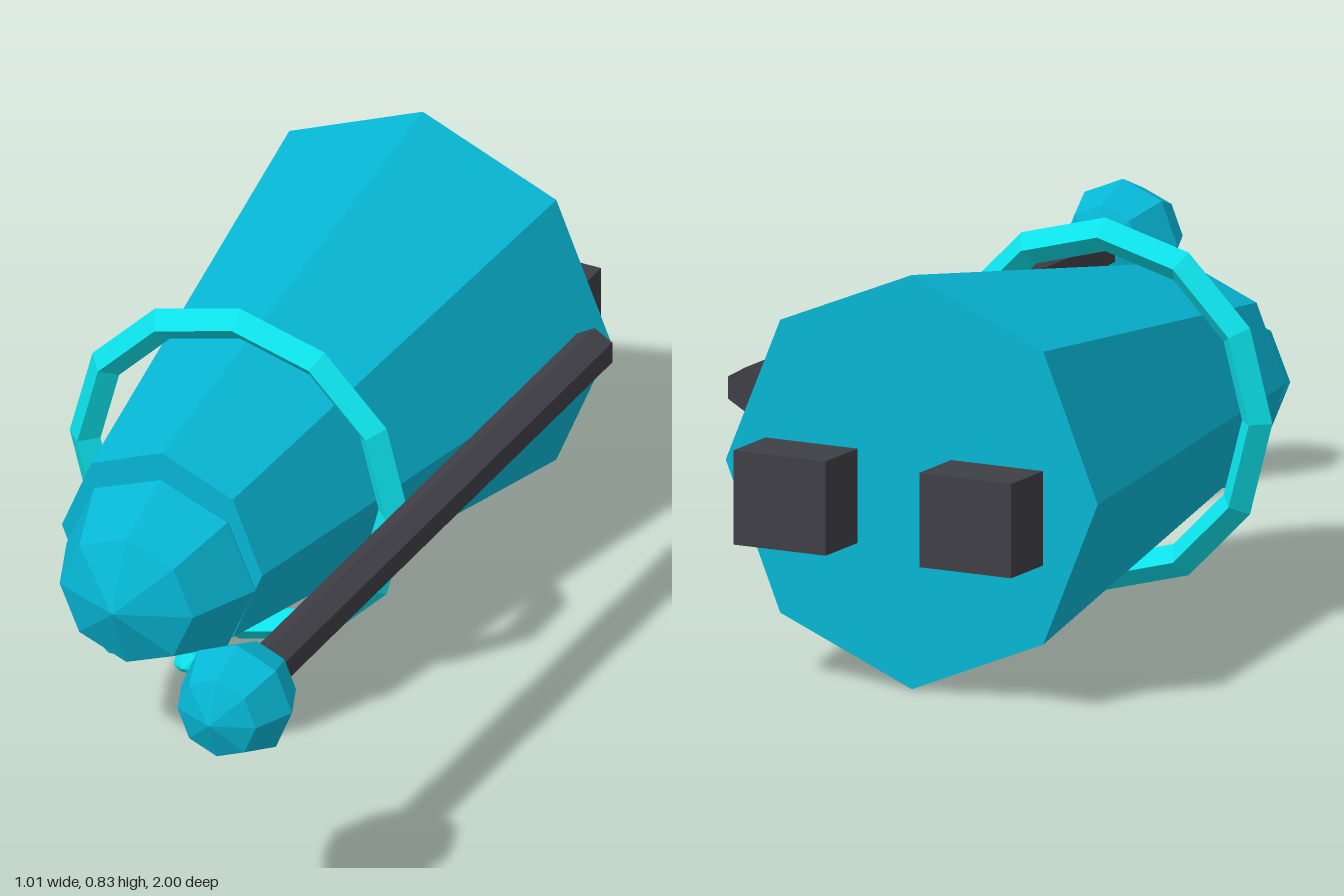
import * as THREE from 'three';

export function createModel() {
  const model = new THREE.Group();
  const mat = (color) => new THREE.MeshStandardMaterial({ color, flatShading: true });
  const teal = mat(0x06b6d4), bright = mat(0x0ce0e8), dark = mat(0x3f3f46);

  const add = (name, geometry, material, x, y, z, scale = [1, 1, 1]) => {
    const mesh = new THREE.Mesh(geometry, material);
    mesh.name = name;
    mesh.position.set(x, y, z);
    mesh.scale.set(...scale);
    model.add(mesh);
    return mesh;
  };
  // Solids of revolution turned so that their axis runs along z
  const ball = (sides) => new THREE.SphereGeometry(1, sides, 4).rotateX(Math.PI / 2);
  const rod = (rFront, rBack, length, sides) =>
    new THREE.CylinderGeometry(rFront, rBack, length, sides).rotateX(Math.PI / 2);

  const cx = -0.09, cy = 0.418;

  // Robe, widening towards the back, and the head at its narrow end
  add('robe', rod(0.221, 0.417, 1.12, 8), teal, cx, cy, -0.28);
  add('head', ball(8), teal, cx, 0.383, 0.285, [0.208, 0.197, 0.21]);

  // Faceted ring floating round the robe
  add('ring', new THREE.TorusGeometry(0.341, 0.034, 4, 12), bright, cx, 0.42, -0.053);

  // Eyes and feet, mirrored about the body axis
  for (const [side, s] of [['left', 1], ['right', -1]]) {
    add(side + 'Eye', ball(6), bright, cx + s * 0.079, 0.203, 0.312, [0.034, 0.0195, 0.034]);
    add(side + 'Foot', new THREE.BoxGeometry(0.206, 0.19, 0.13), dark, cx + s * 0.208, 0.385, -0.935);
  }

  // Staff with an orb on its front end
  add('staff', rod(0.045, 0.045, 1.46, 6), dark, 0.382, 0.517, 0.07);
  add('orb', ball(8), teal, 0.382, 0.515, 0.877, [0.122, 0.122, 0.122]);

  return model;
}
